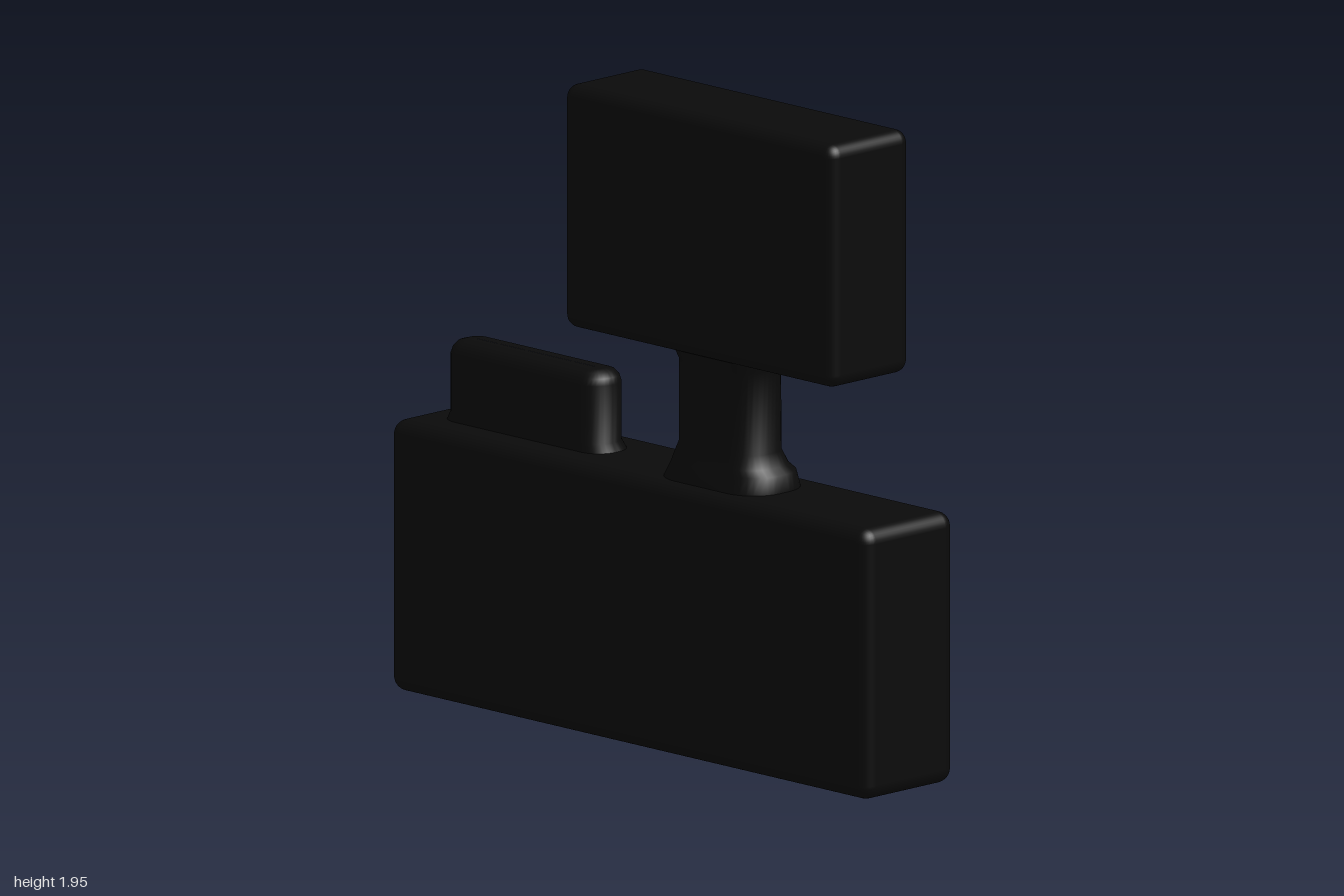
import * as THREE from 'three';
import { toCreasedNormals } from 'three/addons/utils/BufferGeometryUtils.js';
import { RoundedBoxGeometry } from 'three/addons/geometries/RoundedBoxGeometry.js';

const material = new THREE.MeshStandardMaterial({ color: 0x0a0a0a });

function addMesh(group, name, geometry) {
  const mesh = new THREE.Mesh(geometry, material);
  mesh.name = name;
  group.add(mesh);
  return mesh;
}

// Softened block given by its lower and upper corners
function block(group, name, [x0, y0, z0], [x1, y1, z1], radius) {
  const geometry = new RoundedBoxGeometry(x1 - x0, y1 - y0, z1 - z0, 4, radius);
  addMesh(group, name, geometry).position.set((x0 + x1) / 2, (y0 + y1) / 2, (z0 + z1) / 2);
}

// Rounded rectangles [y, x0, x1, z0, z1, cornerRadius] stacked upwards into a skin
function loft(sections) {
  const steps = 8;
  const ring = 4 * (steps + 1);
  const positions = [];
  const index = [];
  for (const [y, x0, x1, z0, z1, r] of sections) {
    const corners = [[x1 - r, z1 - r], [x0 + r, z1 - r], [x0 + r, z0 + r], [x1 - r, z0 + r]];
    corners.forEach(([cx, cz], c) => {
      for (let s = 0; s <= steps; s++) {
        const a = (c + s / steps) * Math.PI / 2;
        positions.push(cx + r * Math.cos(a), y, cz + r * Math.sin(a));
      }
    });
  }
  for (let k = 0; k < sections.length - 1; k++) {
    for (let i = 0; i < ring; i++) {
      const a = k * ring + i;
      const b = k * ring + (i + 1) % ring;
      index.push(a, a + ring, b, b, a + ring, b + ring);
    }
  }
  const geometry = new THREE.BufferGeometry();
  geometry.setAttribute('position', new THREE.Float32BufferAttribute(positions, 3));
  geometry.setIndex(index);
  return toCreasedNormals(geometry, 0.8);
}

export function createModel() {
  const group = new THREE.Group();
  group.name = 'model';

  block(group, 'base', [-1, 0, -0.187], [1, 0.82, 0.187], 0.045);
  block(group, 'head', [-0.31, 1.21, -0.18], [0.82, 1.945, 0.15], 0.04);

  // Neck, flaring into the base and slightly into the head
  addMesh(group, 'neck', loft([
    [0.78, 0.03, 0.48, -0.13, 0.145, 0.11],
    [0.82, 0.04, 0.48, -0.122, 0.138, 0.11],
    [0.87, 0.065, 0.47, -0.108, 0.125, 0.1],
    [0.89, 0.075, 0.45, -0.09, 0.12, 0.09],
    [0.93, 0.09, 0.43, -0.078, 0.11, 0.085],
    [1.18, 0.09, 0.43, -0.075, 0.11, 0.085],
    [1.21, 0.078, 0.442, -0.085, 0.12, 0.09],
    [1.25, 0.075, 0.445, -0.085, 0.12, 0.09],
  ]));

  // Low fin with rounded ends and a softened, closed top
  addMesh(group, 'fin', loft([
    [0.79, -0.91, -0.225, -0.085, 0.08, 0.075],
    [0.82, -0.905, -0.23, -0.082, 0.077, 0.072],
    [0.845, -0.895, -0.247, -0.077, 0.072, 0.07],
    [1.02, -0.895, -0.247, -0.077, 0.072, 0.07],
    [1.04, -0.888, -0.253, -0.071, 0.066, 0.065],
    [1.055, -0.873, -0.268, -0.058, 0.053, 0.052],
    [1.062, -0.85, -0.29, -0.038, 0.033, 0.033],
    [1.062, -0.82, -0.32, -0.003, -0.002, 0.0003],
  ]));

  return group;
}
